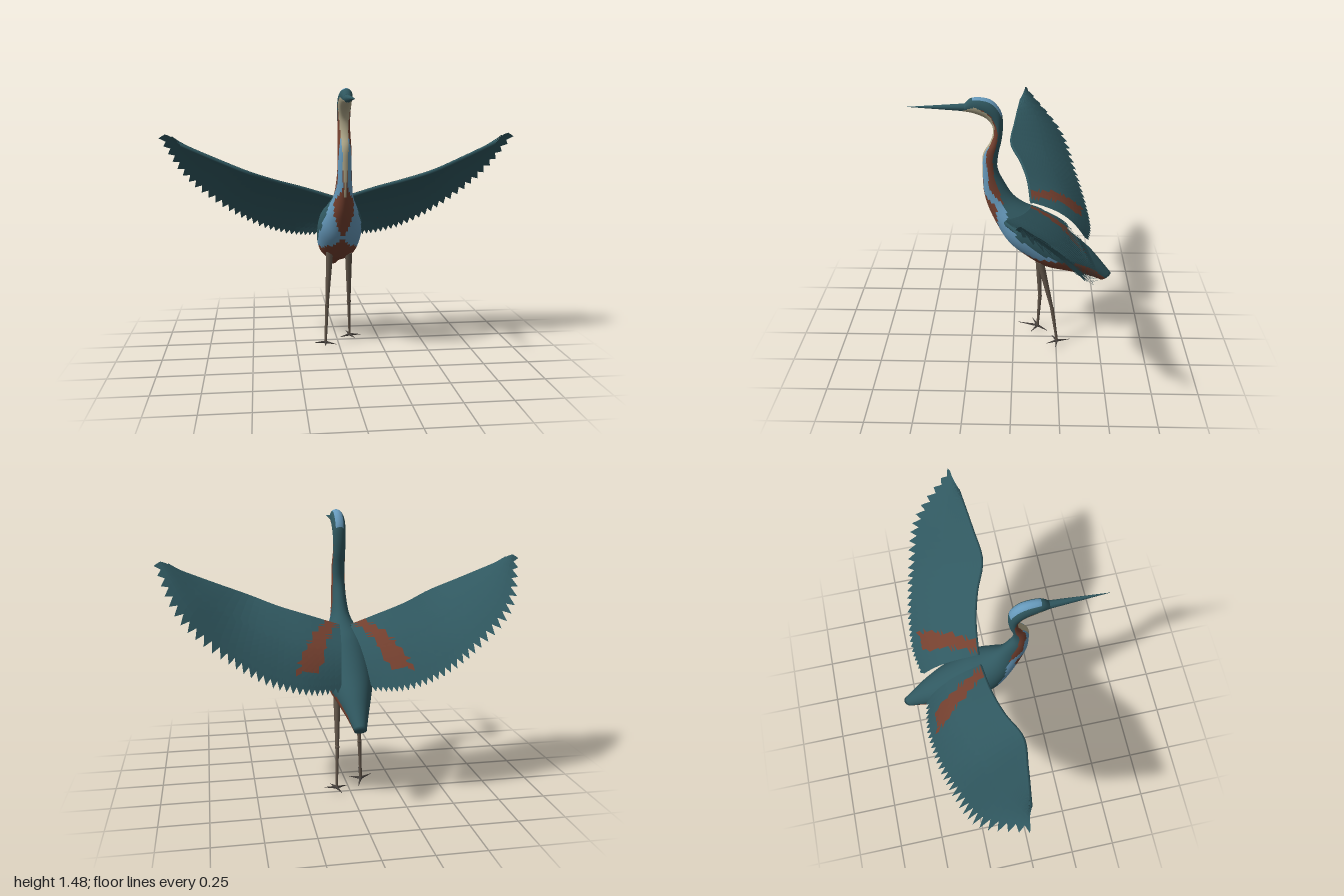
import * as THREE from 'three';

const V = (x, y, z) => new THREE.Vector3(x, y, z);
const flat = (name, color) => new THREE.MeshStandardMaterial({ name, color, side: THREE.DoubleSide });
const teal = flat('teal', 0x305860), rust = flat('rust', 0x74402f), blue = flat('paleBlue', 0x6699bb);
const cream = flat('cream', 0xb0a88a), legBrown = flat('legBrown', 0x62564a), footDark = flat('footDark', 0x45403c);
const palette = [teal, rust, blue, cream];

function add(parent, name, geometry, material) {
  const mesh = new THREE.Mesh(geometry, material);
  mesh.name = name;
  parent.add(mesh);
  return mesh;
}

// Sections from head to tail: underside z, y; back z, y; half width
const SECTIONS = [
  [0.26, 1.413, 0.25, 1.452, 0.018],
  [0.20, 1.402, 0.21, 1.484, 0.032],
  [0.14, 1.375, 0.12, 1.475, 0.037],
  [0.11, 1.335, 0.065, 1.415, 0.036],
  [0.108, 1.29, 0.055, 1.34, 0.034],
  [0.125, 1.24, 0.062, 1.26, 0.034],
  [0.16, 1.18, 0.08, 1.18, 0.036],
  [0.165, 1.09, 0.085, 1.10, 0.037],
  [0.16, 0.97, 0.05, 1.02, 0.042],
  [0.135, 0.87, 0.0, 0.94, 0.055],
  [0.09, 0.77, -0.07, 0.885, 0.09],
  [0.03, 0.67, -0.16, 0.845, 0.12],
  [-0.06, 0.59, -0.25, 0.77, 0.125],
  [-0.17, 0.52, -0.34, 0.69, 0.115],
  [-0.30, 0.485, -0.42, 0.62, 0.085],
  [-0.42, 0.45, -0.48, 0.55, 0.055],
  [-0.49, 0.42, -0.55, 0.46, 0.03],
];

// Plumage bands: section number, then where the throat cream, lower rust,
// blue and upper rust end (0 = front, 1 = back); teal covers the rest
const BANDS = [
  [0, 0.3, 0.3, 0.3, 0.3],
  [1, 0.5, 0.5, 0.5, 0.5],
  [3, 0.3, 0.3, 0.3, 0.35],
  [5, 0.2, 0.2, 0.2, 0.6],
  [7, 0.12, 0.12, 0.42, 0.66],
  [8, 0.05, 0.1, 0.38, 0.62],
  [9, 0, 0.42, 0.58, 0.58],
  [10, 0, 0.12, 0.43, 0.43],
  [11, 0, 0, 0.39, 0.39],
  [13, 0, 0.45, 0.45, 0.45],
  [14, 0, 0.56, 0.56, 0.56],
  [16, 0, 0.5, 0.5, 0.5],
];

// Smooth value of one column of the section table
function sample(v, col) {
  const last = SECTIONS.length - 1, i = Math.min(Math.floor(v), last - 1), t = v - i;
  const at = k => SECTIONS[Math.min(Math.max(k, 0), last)][col];
  const [a, b, c, d] = [at(i - 1), at(i), at(i + 1), at(i + 2)];
  return b + 0.5 * t * (c - a + t * (2 * a - 5 * b + 4 * c - d + t * (3 * (b - c) + d - a)));
}

// Palette index at section v, fraction t of the way from front to back
function plumage(v, t) {
  if (v > 0.9 && v < 3.3 && t > 0.8) return 2;
  const n = BANDS.findIndex(b => v < b[0]), lo = BANDS[n - 1], hi = BANDS[n];
  const f = (v - lo[0]) / (hi[0] - lo[0]);
  const band = [1, 2, 3, 4].findIndex(c => t < lo[c] + (hi[c] - lo[c]) * f);
  return band < 0 ? 0 : [3, 1, 2, 1][band];
}

// Head, neck, trunk and tail as one lofted skin, coloured in bands
function bodyGeometry() {
  const N = 48, STEP = 4, rows = (SECTIONS.length - 1) * STEP;
  const pos = [], lists = palette.map(() => []);
  for (let r = 0; r <= rows; r++) {
    const [zf, yf, zb, yb, w] = [0, 1, 2, 3, 4].map(c => sample(r / STEP, c));
    for (let j = 0; j < N; j++) {
      const a = j / N * Math.PI * 2, k = (1 + Math.cos(a)) / 2;
      pos.push(w * Math.sin(a), yb + (yf - yb) * k, zb + (zf - zb) * k);
    }
  }
  for (let r = 0; r < rows; r++) for (let j = 0; j < N; j++) {
    const k = (j + 1) % N, a = r * N + j, b = a + N, d = r * N + k, c = d + N;
    const f = (j + 0.5) / N * 2;
    lists[plumage((r + 0.5) / STEP, f > 1 ? 2 - f : f)].push(a, b, d, b, c, d);
  }
  // closed ends
  for (let j = 1; j < N - 1; j++) {
    lists[0].push(0, j, j + 1, rows * N, rows * N + j + 1, rows * N + j);
  }
  const g = new THREE.BufferGeometry();
  g.setAttribute('position', new THREE.Float32BufferAttribute(pos, 3));
  g.setIndex(lists.flat());
  let start = 0;
  lists.forEach((l, m) => { g.addGroup(start, l.length, m); start += l.length; });
  g.computeVertexNormals();
  return g;
}

// Wing outline: leading edge and feather tips, root to tip
const leading = new THREE.CatmullRomCurve3([
  V(0.03, 0.885, -0.09), V(0.2, 0.94, -0.07), V(0.35, 0.985, -0.03), V(0.5, 1.04, 0.03),
  V(0.66, 1.105, 0.012), V(0.86, 1.19, -0.02)]);
const trailing = new THREE.CatmullRomCurve3([
  V(0.08, 0.61, -0.42), V(0.24, 0.61, -0.445), V(0.43, 0.66, -0.43), V(0.64, 0.78, -0.38),
  V(0.86, 0.97, -0.29), V(0.985, 1.235, -0.04)]);

function wingPoint(u, s, lift, side) {
  const p = leading.getPoint(u).lerp(trailing.getPoint(u), s);
  const h = lift + 0.05 * (1 - 0.6 * u) * Math.sin(Math.PI * s);
  return V(p.x * side, p.y + 0.76 * h, p.z - 0.64 * h);
}

// One layer of overlapping, slightly tilted feathers with pointed ends
function featherLayer(count, reach, lift, patched, side) {
  const K = 12, lists = [[], []];
  const inPatch = p => {
    const d = -p.z - 0.1, x = Math.abs(p.x);
    return patched && d > -0.03 && d < 0.29 && Math.abs(x - 0.075 - d * 0.57) < 0.03 + d * 0.1;
  };
  const tri = (a, b, c) => {
    const mid = a.clone().add(b).add(c).divideScalar(3);
    const pts = side > 0 ? [a, b, c] : [a, c, b];
    pts.forEach(p => lists[inPatch(mid) ? 1 : 0].push(p.x, p.y, p.z));
  };
  for (let i = 0; i < count; i++) {
    const u0 = i / count, u1 = Math.min(1, (i + 1.3) / count), um = (i + 0.65) / count;
    const neck = reach * (0.92 - 0.2 * u0 * u0);
    const edge = (u, s, tilt) => wingPoint(u, s, lift + tilt * s, side);
    for (let k = 0; k < K; k++) {
      const s = neck * k / K, t = neck * (k + 1) / K;
      const a = edge(u0, s, 0), b = edge(u1, s, 0.012), c = edge(u1, t, 0.012), d = edge(u0, t, 0);
      tri(a, b, c);
      tri(a, c, d);
    }
    tri(edge(u0, neck, 0), edge(u1, neck, 0.012), edge(um, reach, 0.006));
  }
  const g = new THREE.BufferGeometry();
  g.setAttribute('position', new THREE.Float32BufferAttribute(lists.flat(), 3));
  g.addGroup(0, lists[0].length / 3, 0);
  g.addGroup(lists[0].length / 3, lists[1].length / 3, 1);
  g.computeVertexNormals();
  return g;
}

function makeWing(side) {
  const wing = new THREE.Group();
  wing.name = side > 0 ? 'leftWing' : 'rightWing';
  add(wing, 'flightFeathers', featherLayer(30, 1, 0, false, side), palette);
  add(wing, 'upperFeathers', featherLayer(30, 0.92, 0.007, true, side), palette);
  add(wing, 'shoulderFeathers', featherLayer(24, 0.5, 0.014, true, side), palette);
  const arm = new THREE.CatmullRomCurve3(leading.points.map(p => V(p.x * side, p.y, p.z - 0.008)));
  add(wing, 'wingArm', new THREE.TubeGeometry(arm, 24, 0.01, 6), teal);
  return wing;
}

// Tapered round limb between two points
function limb(parent, name, a, b, ra, rb, material) {
  const dir = b.clone().sub(a);
  const mesh = add(parent, name, new THREE.CylinderGeometry(rb, ra, dir.length(), 8), material);
  mesh.position.copy(a).add(b).multiplyScalar(0.5);
  mesh.quaternion.setFromUnitVectors(V(0, 1, 0), dir.normalize());
}

function makeLeg(name, hip, knee, foot, toes) {
  const leg = new THREE.Group();
  leg.name = name;
  limb(leg, 'thigh', hip, knee, 0.021, 0.01, legBrown);
  add(leg, 'knee', new THREE.SphereGeometry(0.013, 8, 6), legBrown).position.copy(knee);
  limb(leg, 'shin', knee, foot, 0.011, 0.007, legBrown);
  add(leg, 'ankle', new THREE.SphereGeometry(0.01, 8, 6), footDark).position.copy(foot);
  toes.forEach(toe => limb(leg, 'toe', foot, foot.clone().add(toe), 0.008, 0.001, footDark));
  return leg;
}

export function createModel() {
  const bird = new THREE.Group();
  bird.name = 'wadingBird';
  add(bird, 'body', bodyGeometry(), palette);

  // Long pointed bill
  const bill = add(bird, 'bill', new THREE.ConeGeometry(0.021, 0.31, 10).rotateX(Math.PI / 2), teal);
  bill.position.set(0, 1.433, 0.395);

  bird.add(makeWing(1), makeWing(-1));

  // Striding legs
  bird.add(makeLeg('leftLeg', V(0.055, 0.56, -0.15), V(0.066, 0.25, -0.222), V(0.075, 0.035, -0.255),
    [V(0.065, 0, 0.01), V(0.025, -0.004, 0.06), V(-0.06, -0.006, 0.03), V(-0.015, 0, -0.075)]));
  bird.add(makeLeg('rightLeg', V(-0.055, 0.57, -0.14), V(-0.07, 0.25, -0.153), V(-0.08, 0.03, -0.143),
    [V(-0.065, 0.008, 0.03), V(-0.01, 0.016, 0.115), V(0.06, -0.003, 0.04), V(0.025, -0.022, -0.06)]));
  return bird;
}
